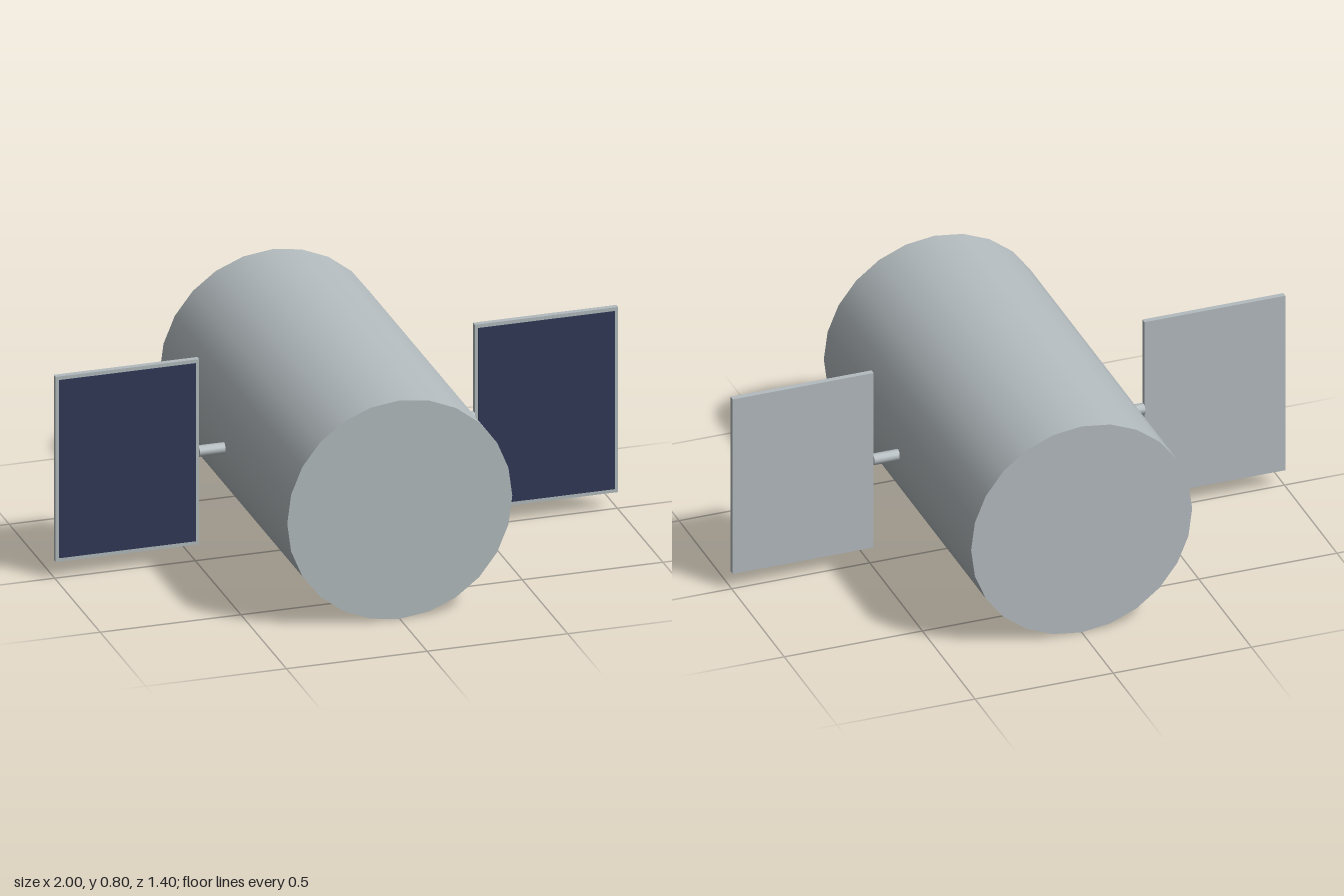
import * as THREE from 'three';

export function createModel() {
  const model = new THREE.Group();
  model.name = 'satellite';

  const metal = new THREE.MeshStandardMaterial({ color: 0xb4bcbf });
  metal.name = 'light grey metal';
  const solar = new THREE.MeshStandardMaterial({ color: 0x313957 });
  solar.name = 'dark blue solar cells';

  const centreY = 0.4;
  const add = (parent, name, geometry, material, x, y, z) => {
    const mesh = new THREE.Mesh(geometry, material);
    mesh.name = name;
    mesh.position.set(x, y, z);
    parent.add(mesh);
    return mesh;
  };

  // Main drum, lying along z
  const drum = new THREE.CylinderGeometry(0.4, 0.4, 1.4, 24).rotateX(Math.PI / 2);
  add(model, 'body', drum, metal, 0, centreY, 0);

  // A strut and a framed panel on each side
  const strut = new THREE.CylinderGeometry(0.02, 0.02, 0.14, 12).rotateZ(Math.PI / 2);
  const frame = new THREE.BoxGeometry(0.51, 0.678, 0.02);
  const cells = new THREE.BoxGeometry(0.486, 0.652, 0.004);
  for (const side of [1, -1]) {
    const wing = new THREE.Group();
    wing.name = side > 0 ? 'leftWing' : 'rightWing';
    add(wing, 'strut', strut, metal, side * 0.42, centreY, 0);
    add(wing, 'panelFrame', frame, metal, side * 0.745, centreY + 0.002, 0);
    // Cells cover the front of the panel only
    add(wing, 'solarCells', cells, solar, side * 0.745, centreY + 0.002, 0.0095);
    model.add(wing);
  }
  return model;
}
